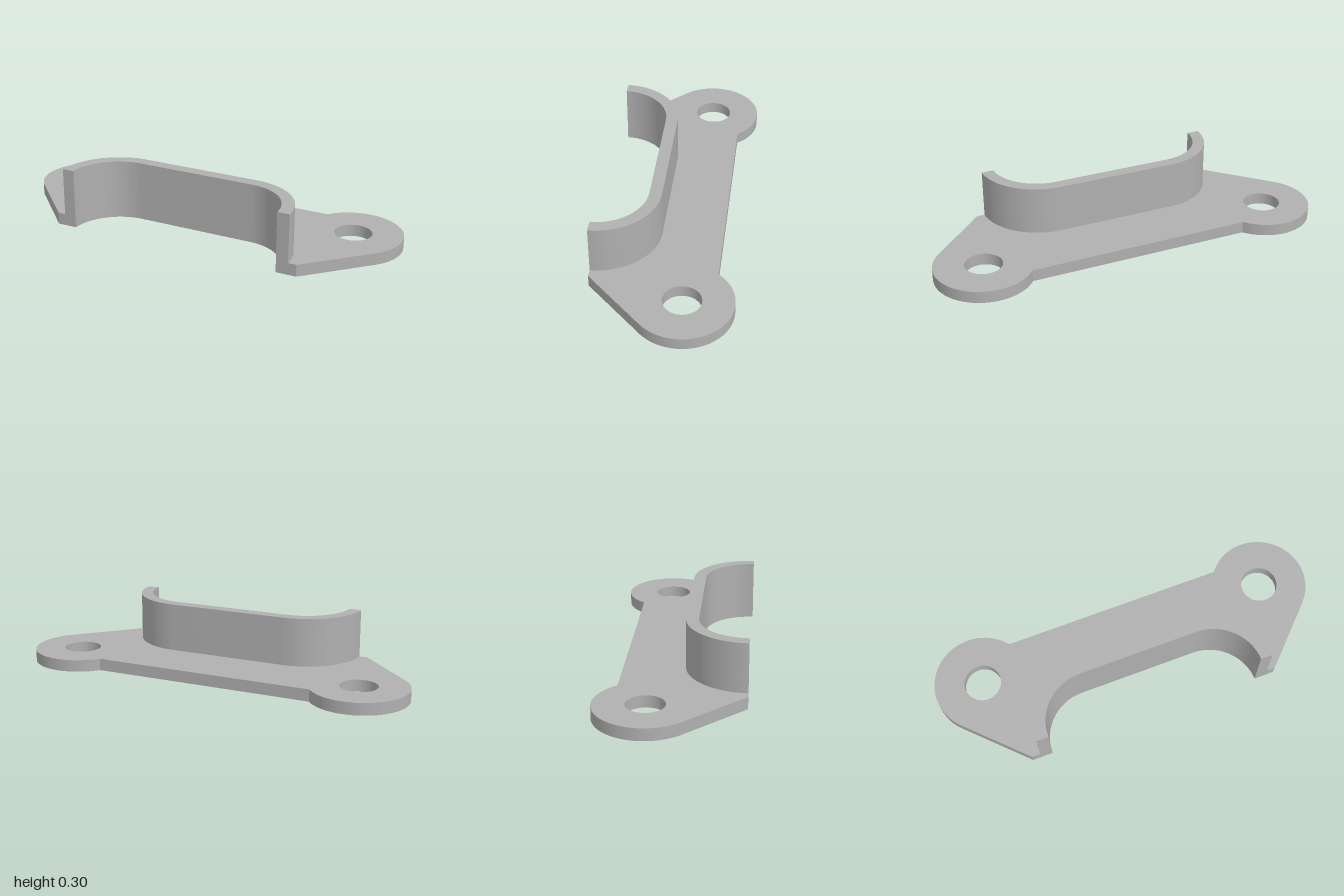
import * as THREE from 'three';
import { toCreasedNormals } from 'three/addons/utils/BufferGeometryUtils.js';

const FRONT = -0.347;              // front edge in shape space (shape y = -z)
const PLATE = 0.06, TOP = 0.303;   // plate thickness, wall top
const EAR = { x: 0.757, y: 0.105, r: 0.243, hole: 0.092 };
const BEND = { x: 0.304, inner: 0.243, outer: 0.304 };

// Extrude a plan outline upward from a given height, keeping edges crisp
function slab(shape, y0, y1) {
  const g = new THREE.ExtrudeGeometry(shape, { depth: y1 - y0, bevelEnabled: false, curveSegments: 40 });
  g.rotateX(-Math.PI / 2);
  g.translate(0, y0, 0);
  return toCreasedNormals(g, 0.4);
}

// Rounded channel line, from the left front end to the right front end
function channel(shape, r) {
  shape.absarc(-BEND.x, FRONT, r, Math.PI, Math.PI / 2, true);
  shape.absarc(BEND.x, FRONT, r, Math.PI / 2, 0, true);
}

export function createModel() {
  const group = new THREE.Group();
  group.name = 'bracket';
  const grey = new THREE.MeshStandardMaterial({ color: 0xb0b0b0 });
  grey.name = 'grey';

  // Base plate with two round ears and a channel cut in the front
  const base = new THREE.Shape();
  const meet = Math.asin(0.149 / EAR.r);
  base.moveTo(BEND.x + BEND.inner, FRONT);
  base.lineTo(0.649, FRONT);
  base.absarc(EAR.x, EAR.y, EAR.r, -Math.PI / 4, Math.PI - meet, false);
  base.absarc(-EAR.x, EAR.y, EAR.r, meet, Math.PI * 1.25, false);
  base.lineTo(-0.649, FRONT);
  channel(base, BEND.inner);

  // Screw holes
  for (const side of [-1, 1]) {
    const hole = new THREE.Path();
    hole.absarc(side * EAR.x, EAR.y, EAR.hole, 0, Math.PI * 2, true);
    base.holes.push(hole);
  }
  const basePlate = new THREE.Mesh(slab(base, 0, PLATE), grey);
  basePlate.name = 'basePlate';

  // Upright wall following the channel
  const wall = new THREE.Shape();
  channel(wall, BEND.outer);
  wall.absarc(BEND.x, FRONT, BEND.inner, 0, Math.PI / 2, false);
  wall.absarc(-BEND.x, FRONT, BEND.inner, Math.PI / 2, Math.PI, false);
  const channelWall = new THREE.Mesh(slab(wall, PLATE, TOP), grey);
  channelWall.name = 'channelWall';

  group.add(basePlate, channelWall);
  return group;
}
